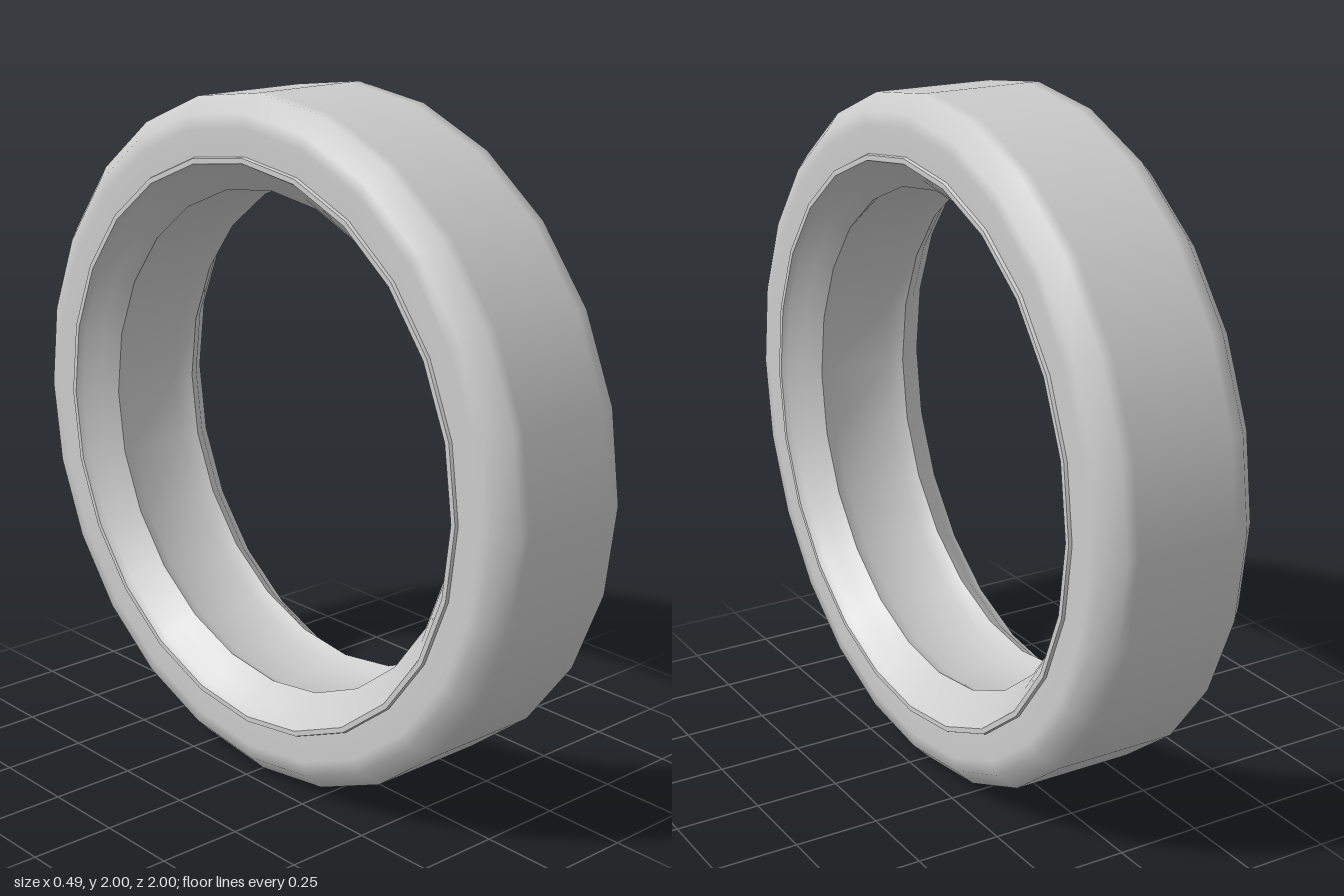
import * as THREE from 'three';
import { toCreasedNormals } from 'three/addons/utils/BufferGeometryUtils.js';

const SEGMENTS = 24;

// Mirror a half profile [radius, x] across x = 0
function mirrored(half) {
  const other = half.map(([r, x]) => [r, -x]).reverse();
  return [...half, ...other].map(([r, x]) => new THREE.Vector2(r, x));
}

// Revolve a profile around the x axis, centred at axle height
function ring(name, half, creaseAngle) {
  let geometry = new THREE.LatheGeometry(mirrored(half), SEGMENTS);
  if (creaseAngle) geometry = toCreasedNormals(geometry, creaseAngle);
  geometry.rotateZ(-Math.PI / 2);
  const material = new THREE.MeshStandardMaterial({ color: 0xcccccc, side: THREE.DoubleSide });
  const mesh = new THREE.Mesh(geometry, material);
  mesh.name = name;
  mesh.position.y = 1;
  return mesh;
}

export function createModel() {
  const group = new THREE.Group();
  group.name = 'wheelRing';

  // Tyre: flat sidewalls, softly shaded shoulders and a smooth tread
  group.add(ring('tyre', [
    [0.82, -0.235], [0.84, -0.237], [0.91, -0.237], [0.95, -0.235],
    [1.0, -0.185], [1.0, -0.15],
  ]));

  // Rim: raised lip, funnel to a narrow ridge, shallow recess between ridges
  group.add(ring('rim', [
    [0.755, 0.1], [0.73, 0.145], [0.765, 0.19], [0.805, 0.225],
    [0.815, 0.245], [0.83, 0.245], [0.835, 0.23],
  ].reverse().map(([r, x]) => [r, x]), 0.7));

  return group;
}
